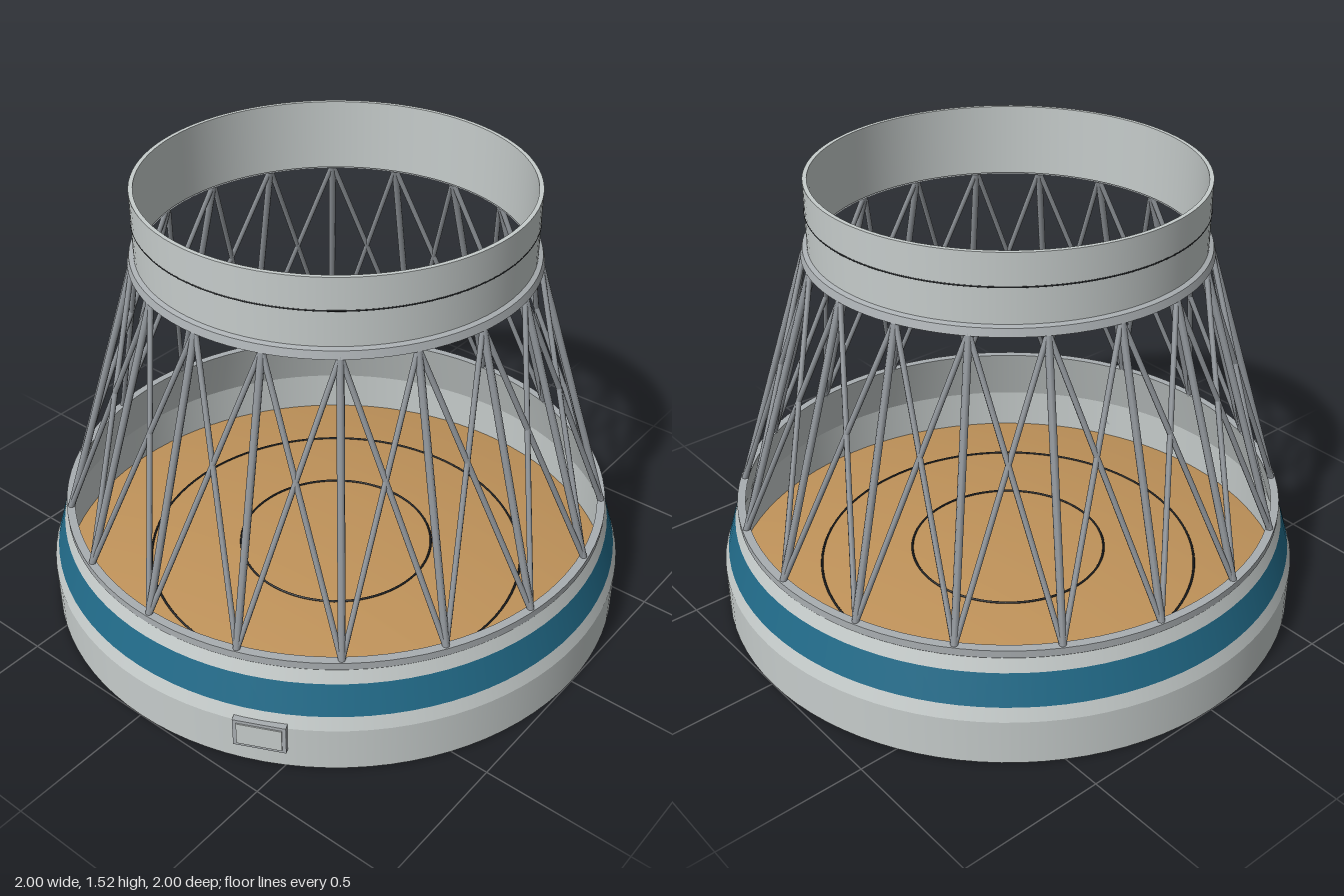
import * as THREE from 'three';
import { mergeGeometries } from 'three/addons/utils/BufferGeometryUtils.js';

const mat = (name, color, side = THREE.DoubleSide) => {
  const m = new THREE.MeshStandardMaterial({ color, side });
  m.name = name;
  return m;
};

const SEG = 96;

// Turned shell with crisp edges: one lathe strip per profile segment
function turned(points) {
  const strips = [];
  for (let i = 0; i < points.length - 1; i++) {
    const pair = [points[i], points[i + 1]].map(([r, y]) => new THREE.Vector2(r, y));
    strips.push(new THREE.LatheGeometry(pair, SEG));
  }
  return mergeGeometries(strips);
}

// Point on a circle, angle measured from the front (+z)
const polar = (r, y, a) => new THREE.Vector3(r * Math.sin(a), y, r * Math.cos(a));

function rod(a, b, radius) {
  const dir = b.clone().sub(a);
  const geo = new THREE.CylinderGeometry(radius, radius, dir.length(), 8);
  geo.applyQuaternion(new THREE.Quaternion().setFromUnitVectors(new THREE.Vector3(0, 1, 0), dir.normalize()));
  const mid = a.clone().add(b).multiplyScalar(0.5);
  return geo.translate(mid.x, mid.y, mid.z);
}

export function createModel() {
  const group = new THREE.Group();
  const shell = mat('light grey', 0xc6cccb);
  const trim = mat('mid grey', 0xa9aeb1);
  const steel = mat('strut grey', 0x8f9499);
  const blue = mat('blue', 0x216a88);
  const gold = mat('gold', 0xc0935a);
  const dark = mat('dark', 0x1b1d1f);

  const add = (name, geo, material, parent = group) => {
    const mesh = new THREE.Mesh(geo, material);
    mesh.name = name;
    parent.add(mesh);
    return mesh;
  };

  // Base: upright skirt, tapered shoulder with a blue band, and inner wall
  add('baseSkirt', turned([[0.985, 0], [1, 0], [1, 0.16], [0.985, 0.205]]), shell);
  add('blueBand', turned([[0.985, 0.205], [0.953, 0.31]]), blue);
  add('baseShoulder', turned([[0.953, 0.31], [0.938, 0.355]]), shell);
  add('baseRim', turned([[0.938, 0.355], [0.94, 0.358], [0.94, 0.383], [0.912, 0.383]]), trim);
  add('baseInnerWall', turned([[0.912, 0.383], [0.982, 0.17], [0.985, 0]]), shell);

  // Floor: thin shallow dome with two dark seam rings
  const floorY = (r) => 0.018 + 0.088 * (1 - (r / 0.985) ** 2);
  const floorProfile = [];
  for (let i = 0; i <= 16; i++) {
    const r = 0.985 * (1 - i / 16);
    floorProfile.push(new THREE.Vector2(r, floorY(r)));
  }
  add('domedFloor', new THREE.LatheGeometry(floorProfile, SEG), gold);
  for (const r of [0.345, 0.67]) {
    const ring = new THREE.TorusGeometry(r, 0.004, 6, SEG).rotateX(Math.PI / 2);
    add('floorSeam', ring.translate(0, floorY(r) + 0.002, 0), dark);
  }

  // Upper ring: open collar with a flange at the foot and a seam around it
  add('upperCollar', turned([[0.64, 1.305], [0.64, 1.525], [0.626, 1.525], [0.626, 1.28]]), shell);
  add('upperFlange', turned([[0.626, 1.275], [0.662, 1.275], [0.655, 1.3], [0.64, 1.305]]), trim);
  add('collarSeam', new THREE.TorusGeometry(0.637, 0.0045, 6, SEG).rotateX(Math.PI / 2).translate(0, 1.42, 0), dark);

  // Truss: straight struts at 18 stations with crossed diagonals between them
  const N = 18;
  const step = (Math.PI * 2) / N;
  const struts = [];
  const diagonals = [];
  for (let i = 0; i < N; i++) {
    const a = (i + 0.5) * step;
    const top = polar(0.648, 1.28, a);
    struts.push(rod(polar(0.926, 0.375, a), top, 0.012));
    for (const s of [-1, 1]) diagonals.push(rod(polar(0.926, 0.375, a + s * step), top, 0.009));
  }
  add('struts', mergeGeometries(struts), steel);
  add('diagonals', mergeGeometries(diagonals), steel);

  // Small hatch on the right side of the skirt
  const hatch = new THREE.Group();
  hatch.name = 'hatch';
  const angle = -1.125;
  hatch.position.copy(polar(0.998, 0.122, angle));
  hatch.rotation.y = angle;
  group.add(hatch);
  add('hatchFrame', new THREE.BoxGeometry(0.17, 0.105, 0.03), trim, hatch);
  add('hatchPanel', new THREE.BoxGeometry(0.145, 0.082, 0.006).translate(0, 0, 0.016), shell, hatch);

  return group;
}
